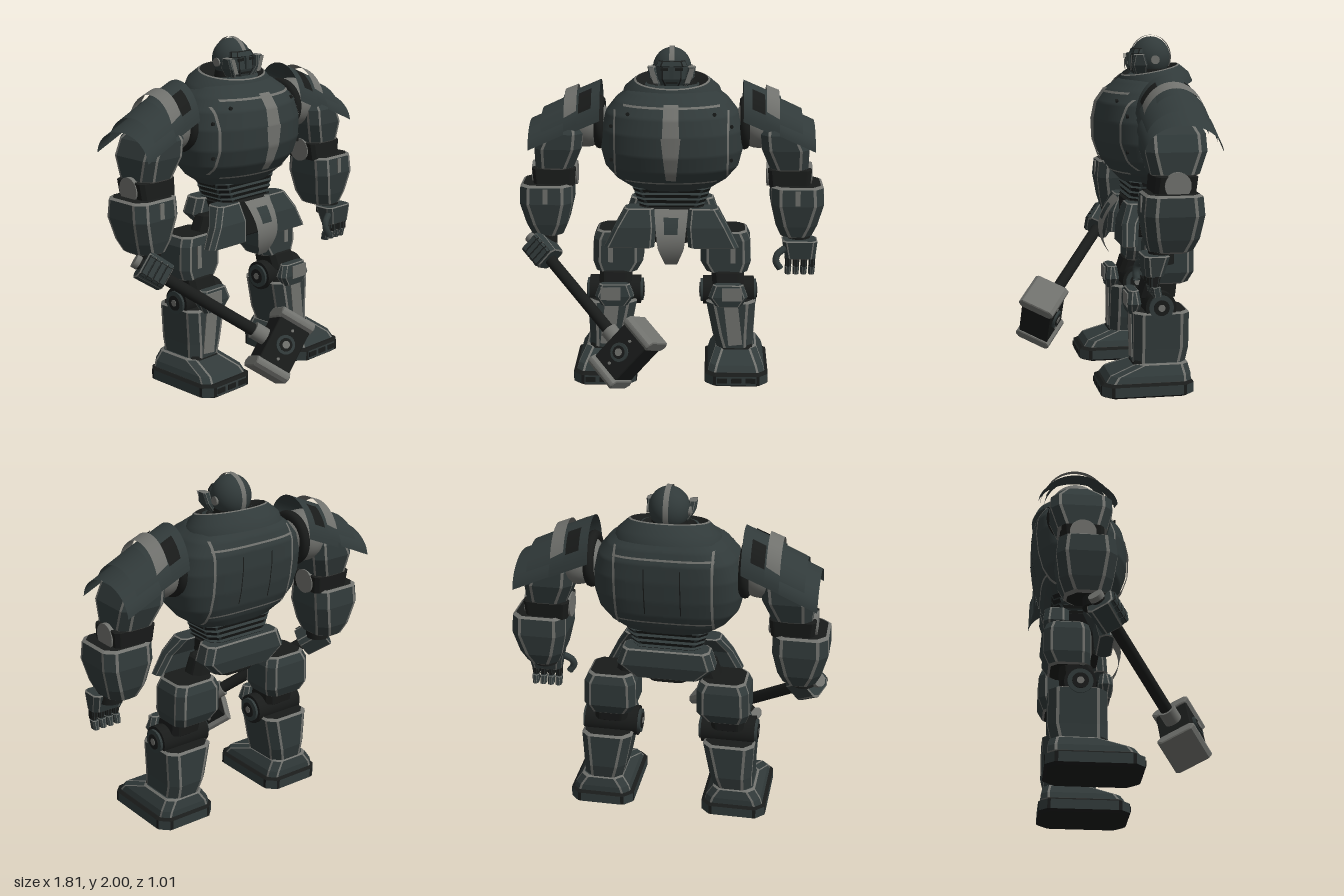
import * as THREE from 'three';

const mat = (name, color) => new THREE.MeshStandardMaterial({ name, color, side: THREE.DoubleSide });
const armour = mat('armour', 0x313a3a);
const trim = mat('trim', 0x70716d);
const dark = mat('dark', 0x191b1a);
const lerp = THREE.MathUtils.lerp;

function add(parent, name, geo, material, x = 0, y = 0, z = 0) {
  const m = new THREE.Mesh(geo, material);
  m.name = name;
  m.position.set(x, y, z);
  parent.add(m);
  return m;
}

// Armour block lofted from rows [y, x0, x1, z0, z1]; rounded corners are edged with trim
function block(parent, name, rows, c = 0.06, mats = [armour, trim, armour], s = 1) {
  const b = c * 0.25, first = rows[0], last = rows[rows.length - 1];
  const inset = (r, d) => [r[0] + d, r[1] + b, r[2] - b, r[3] + b, r[4] - b];
  const all = [inset(first, -b * 0.7), ...rows, inset(last, b * 0.7)];
  const rings = all.map(([y, xa, xb, z0, z1]) => {
    const [x0, x1] = s < 0 ? [-xb, -xa] : [xa, xb], pts = [];
    for (let q = 0; q < 4; q++) for (const deg of [0, 16, 74, 90]) {
      const t = (q * 90 + deg) * Math.PI / 180;
      const cx = q === 0 || q === 3 ? x1 - c : x0 + c, cz = q < 2 ? z1 - c : z0 + c;
      pts.push([cx + c * Math.cos(t), y, cz + c * Math.sin(t)]);
    }
    return pts;
  });
  const faces = [[], [], []];
  const n = 16, top = rings.length - 1;
  for (let k = 0; k < top; k++) for (let i = 0; i < n; i++) {
    const j = (i + 1) % n, A = rings[k], B = rings[k + 1];
    const edge = k === 0 || k === top - 1 || i % 4 === 0 || i % 4 === 2;
    faces[edge ? 1 : 0].push(A[i], B[i], A[j], A[j], B[i], B[j]);
  }
  for (let i = 1; i < n - 1; i++) {
    faces[2].push(rings[top][0], rings[top][i + 1], rings[top][i]);
    faces[2].push(rings[0][0], rings[0][i], rings[0][i + 1]);
  }
  const geo = new THREE.BufferGeometry();
  geo.setAttribute('position', new THREE.Float32BufferAttribute(faces.flat(2), 3));
  let start = 0;
  faces.forEach((f, i) => { geo.addGroup(start, f.length, i); start += f.length; });
  geo.computeVertexNormals();
  return add(parent, name, geo, mats);
}

// Curved sheet from a rule (u, v) -> [x, y, z]
function sheet(parent, name, material, fn, nu = 16, nv = 16) {
  const geo = new THREE.PlaneGeometry(1, 1, nu, nv), p = geo.attributes.position;
  for (let i = 0; i < p.count; i++) p.setXYZ(i, ...fn(p.getX(i) + 0.5, p.getY(i) + 0.5));
  geo.computeVertexNormals();
  return add(parent, name, geo, material);
}

// Cylinder lying along x (default), y or z
function disc(parent, name, material, r, len, x, y, z, axis = 'x', sides = 24) {
  const geo = new THREE.CylinderGeometry(r, r, len, sides);
  if (axis === 'x') geo.rotateZ(Math.PI / 2);
  if (axis === 'z') geo.rotateX(Math.PI / 2);
  return add(parent, name, geo, material, x, y, z);
}

// Torso profile: y, half width, front z, back z; round in front, boxy behind
const PROFILE = [[1.15, 0.05, -0.2, -0.3], [1.16, 0.24, -0.09, -0.38], [1.22, 0.33, -0.03, -0.42], [1.3, 0.395, 0.03, -0.455],
  [1.4, 0.42, 0.065, -0.48], [1.52, 0.42, 0.07, -0.495], [1.62, 0.39, 0.05, -0.495], [1.69, 0.335, 0, -0.47],
  [1.74, 0.27, -0.07, -0.43], [1.78, 0.15, -0.16, -0.36]];
const power = side => (side > 0 ? 2.05 : 3.4);
function profileAt(y) {
  let i = 0;
  while (i < PROFILE.length - 2 && y > PROFILE[i + 1][0]) i++;
  const a = PROFILE[i], b = PROFILE[i + 1], t = (y - a[0]) / (b[0] - a[0]);
  return [1, 2, 3].map(k => lerp(a[k], b[k], t));
}
function torsoZ(x, y, side, off = 0.006) {
  const [w, f, b] = profileAt(y), n = power(side);
  const bulge = Math.pow(Math.max(0, 1 - Math.pow(Math.abs(x) / w, n)), 1 / n);
  return (f + b) / 2 + side * ((f - b) / 2 * bulge + off);
}

function buildTorso(g) {
  sheet(g, 'torso', armour, (u, v) => {
    const y = lerp(1.15, 1.78, v), [w, f, b] = profileAt(y), t = u * Math.PI * 2 - Math.PI;
    const pw = k => Math.sign(k) * Math.pow(Math.abs(k), 2 / power(Math.cos(t)));
    return [w * pw(Math.sin(t)), y, (f + b) / 2 + (f - b) / 2 * pw(Math.cos(t))];
  }, 80, 63);
  const strip = (name, m, side, x0, x1, y0, y1, off, taper = 1) => sheet(g, name, m, (u, v) => {
    const y = lerp(y0, y1, v), x = lerp(x0, x1, side > 0 ? u : 1 - u) * lerp(taper, 1, v);
    return [x, y, torsoZ(x, y, side, off)];
  }, 20, 20);
  // Chest stripe, seams and back panel lines
  strip('chestStripeLower', trim, 1, -0.057, 0.057, 1.25, 1.52, 0.012, 0.5);
  strip('chestStripeUpper', trim, 1, -0.042, 0.042, 1.5, 1.7, 0.011, 1.2);
  strip('chestTopSeam', trim, 1, -0.28, 0.28, 1.675, 1.687);
  strip('chestBottomSeam', trim, 1, -0.27, 0.27, 1.222, 1.232);
  strip('backTopSeam', trim, -1, -0.28, 0.28, 1.645, 1.656);
  strip('backBottomSeam', trim, -1, -0.27, 0.27, 1.25, 1.26);
  strip('backPanel', armour, -1, -0.2, 0.2, 1.32, 1.6, 0.009);
  for (const s of [-1, 1]) {
    strip('chestSideSeam', trim, 1, s * 0.33 - 0.006, s * 0.33 + 0.006, 1.25, 1.65);
    strip('backSideSeam', trim, -1, s * 0.27 - 0.007, s * 0.27 + 0.007, 1.2, 1.7);
    strip('backPanelSeam', dark, -1, s * 0.1 - 0.003, s * 0.1 + 0.003, 1.32, 1.6, 0.012);
    for (const [x, y] of [[0.35, 1.56], [0.35, 1.36], [0.25, 1.64]])
      disc(g, 'rivet', dark, 0.011, 0.012, s * x, y, torsoZ(x, y, 1), 'z', 10);
  }
  // Tilted collar with a recessed neck
  const collar = new THREE.Group();
  collar.name = 'collar';
  collar.position.set(0, 1.755, -0.272);
  collar.rotation.x = 0.2;
  collar.scale.z = 0.75;
  g.add(collar);
  const lathe = (name, m, pts) => add(collar, name, new THREE.LatheGeometry(pts.map(p => new THREE.Vector2(...p)), 40), m);
  lathe('collarShell', armour, [[0.3, -0.06], [0.285, -0.01], [0.225, 0.045]]);
  lathe('collarRim', trim, [[0.225, 0.045], [0.213, 0.05]]);
  lathe('neckWell', dark, [[0.213, 0.05], [0.16, 0.025], [0.12, 0], [0.001, 0]]);
}

function buildHead(g) {
  const head = new THREE.Group();
  head.name = 'head';
  head.position.set(0, 1.87, -0.265);
  g.add(head);
  add(head, 'helmet', new THREE.SphereGeometry(0.113, 32, 20), armour).scale.y = 1.06;
  add(head, 'neck', new THREE.CylinderGeometry(0.09, 0.11, 0.12, 24), dark, 0, -0.09, 0);
  sheet(head, 'crest', trim, (u, v) => {
    const a = lerp(-2.0, 1.1, v);
    return [lerp(-0.015, 0.015, u), 0.128 * Math.cos(a), 0.119 * Math.sin(a)];
  }, 1, 24);
  block(head, 'faceMask', [[-0.12, -0.05, 0.05, 0, 0.095], [-0.05, -0.08, 0.08, 0, 0.122], [0.02, -0.08, 0.08, 0, 0.117]], 0.03, [armour, dark, armour]);
  block(head, 'brow', [[0.025, -0.09, 0.09, 0, 0.115], [0.05, -0.08, 0.08, 0, 0.105]], 0.03, [armour, dark, armour]);
  add(head, 'nose', new THREE.BoxGeometry(0.022, 0.075, 0.02), armour, 0, -0.01, 0.122);
  add(head, 'mouthGrille', new THREE.BoxGeometry(0.07, 0.012, 0.008), dark, 0, -0.07, 0.117);
  for (const s of [-1, 1]) {
    add(head, 'eyeSlot', new THREE.BoxGeometry(0.045, 0.016, 0.008), dark, s * 0.043, 0.008, 0.118);
    block(head, 'cheekGuard', [[-0.09, 0.065, 0.095, 0.04, 0.11], [-0.04, 0.085, 0.13, 0.04, 0.13], [0.02, 0.095, 0.14, 0.06, 0.12]], 0.012, [armour, trim, trim], s);
    sheet(head, 'cheekPlate', trim, (u, v) => [s * (lerp(0.075, 0.105, v) + 0.03 * u), lerp(-0.07, 0.018, v), 0.133], 1, 1);
    disc(head, 'earDisc', trim, 0.025, 0.03, s * 0.106, -0.01, -0.005);
  }
}

function buildHips(g) {
  for (let i = 0; i < 4; i++) {
    const w = 0.19 + i * 0.012, y = 1.05 + i * 0.032;
    block(g, 'waistBand', [[y, -w, w, -0.37, -0.12], [y + 0.02, -w - 0.008, w + 0.008, -0.38, -0.11]], 0.06, [dark, armour, dark]);
  }
  block(g, 'pelvisCore', [[0.84, -0.12, 0.12, -0.35, -0.1], [1.05, -0.2, 0.2, -0.38, -0.1]], 0.05, [dark, dark, dark]);
  block(g, 'rearBelt', [[0.89, -0.2, 0.2, -0.41, -0.3], [0.97, -0.28, 0.28, -0.43, -0.28], [1.06, -0.25, 0.25, -0.42, -0.28]], 0.04);
  // Tapered front guard
  const guard = (name, m, k, y0, y1, off) => sheet(g, name, m, (u, v) => {
    const y = lerp(y0, y1, v), t = (y - 0.73) / 0.33;
    const w = t < 0.35 ? lerp(0.035, 0.078, t / 0.35) : lerp(0.078, 0.1, (t - 0.35) / 0.65);
    return [(u * 2 - 1) * w * k, y, 0.03 - 0.28 * Math.pow(t - 0.42, 2) + off];
  }, 2, 12);
  guard('frontGuard', trim, 1, 0.73, 1.06, 0);
  guard('frontGuardInset', armour, 0.45, 0.93, 1.02, 0.006);
  for (const s of [-1, 1])
    block(g, 'hipSkirt', [[0.83, 0.1, 0.4, -0.12, -0.03], [0.95, 0.09, 0.34, -0.14, -0.04], [1.05, 0.1, 0.28, -0.2, -0.08]], 0.03, undefined, s);
}

function buildLeg(g, s) {
  const D = [armour, trim, dark];
  block(g, 'thigh', [[0.63, 0.21, 0.46, -0.4, -0.17], [0.69, 0.175, 0.48, -0.43, -0.17], [0.83, 0.175, 0.475, -0.43, -0.17], [0.875, 0.195, 0.455, -0.415, -0.18]], 0.05, D, s);
  block(g, 'hipJoint', [[0.86, 0.18, 0.31, -0.35, -0.2], [0.97, 0.12, 0.27, -0.34, -0.2]], 0.05, [dark, dark, dark], s);
  add(g, 'thighStripe', new THREE.BoxGeometry(0.03, 0.135, 0.008), trim, s * 0.37, 0.76, -0.168);
  // Knee hinge and guard
  disc(g, 'kneeHinge', dark, 0.088, 0.31, s * 0.345, 0.5, -0.23);
  for (const x of [0.185, 0.505]) {
    disc(g, 'kneeRing', armour, 0.07, 0.02, s * x, 0.5, -0.23);
    disc(g, 'kneeCap', dark, 0.045, 0.03, s * x, 0.5, -0.23);
    disc(g, 'kneeBolt', trim, 0.02, 0.036, s * x, 0.5, -0.23);
  }
  block(g, 'upperKnee', [[0.54, 0.25, 0.44, -0.33, -0.13], [0.63, 0.24, 0.44, -0.34, -0.16]], 0.04, [dark, dark, dark], s);
  block(g, 'kneeGuard', [[0.45, 0.265, 0.425, -0.12, -0.06], [0.51, 0.225, 0.46, -0.13, -0.05], [0.58, 0.25, 0.435, -0.12, -0.06]], 0.025, [armour, trim, armour], s);
  add(g, 'kneePlate', new THREE.BoxGeometry(0.12, 0.08, 0.008), trim, s * 0.365, 0.53, -0.052);
  // Shin and foot
  block(g, 'shin', [[0.17, 0.275, 0.5, -0.38, -0.08], [0.26, 0.25, 0.5, -0.4, -0.08], [0.46, 0.21, 0.51, -0.4, -0.08]], 0.06, D, s);
  add(g, 'shinStripe', new THREE.BoxGeometry(0.085, 0.26, 0.008), trim, s * 0.375, 0.325, -0.079).rotation.z = s * 0.12;
  block(g, 'sole', [[0.014, 0.205, 0.585, -0.415, 0.115], [0.07, 0.205, 0.585, -0.415, 0.115]], 0.07, [armour, dark, dark], s);
  block(g, 'footUpper', [[0.085, 0.225, 0.565, -0.4, 0.085], [0.12, 0.235, 0.555, -0.4, 0.06], [0.172, 0.27, 0.52, -0.39, -0.09]], 0.05, undefined, s);
  block(g, 'ankle', [[0.15, 0.29, 0.5, -0.36, -0.07], [0.2, 0.29, 0.49, -0.36, -0.09]], 0.04, [dark, dark, dark], s);
  for (const x of [0.31, 0.395, 0.48]) add(g, 'toeRidge', new THREE.BoxGeometry(0.06, 0.03, 0.014), dark, s * x, 0.045, 0.114);
}

function buildArm(g, s) {
  // Shoulder joint
  add(g, 'shoulderBall', new THREE.SphereGeometry(0.15, 28, 18), trim, s * 0.515, 1.54, -0.27);
  add(g, 'shoulderRing', new THREE.TorusGeometry(0.13, 0.03, 10, 32), dark, s * 0.43, 1.54, -0.27).rotation.y = Math.PI / 2;
  // Layered arched pads
  const pad = (name, m, x0, x1, y0, y1, drop, hd, nu = 6, a0 = -1.5, a1 = 1.5) => sheet(g, name, m, (u, v) => {
    const a = lerp(a0, a1, v);
    return [s * lerp(x0, x1, u), lerp(y0, y1, u) - drop * (1 - Math.cos(a)), -0.275 + hd * Math.sin(a)];
  }, nu, 24);
  pad('shoulderPadInner', armour, 0.42, 0.64, 1.795, 1.7, 0.23, 0.18);
  pad('shoulderPadMiddle', armour, 0.55, 0.765, 1.725, 1.625, 0.18, 0.2);
  pad('shoulderPadOuter', armour, 0.63, 0.84, 1.65, 1.555, 0.155, 0.215);
  pad('shoulderPadBand', trim, 0.555, 0.63, 1.765, 1.735, 0.22, 0.187, 6, -1.2, 1.2);
  for (const t of [-1, 1]) pad('shoulderPadRecess', dark, 0.47, 0.545, 1.78, 1.747, 0.23, 0.184, 4, t * 0.45, t * 1.1);
  // Upper arm, elbow and forearm
  block(g, 'upperArm', [[1.29, 0.58, 0.81, -0.38, -0.11], [1.41, 0.53, 0.81, -0.42, -0.08], [1.5, 0.52, 0.77, -0.42, -0.08], [1.61, 0.53, 0.65, -0.37, -0.15]], 0.06, [armour, trim, dark], s);
  block(g, 'elbow', [[1.18, 0.58, 0.82, -0.35, -0.12], [1.28, 0.57, 0.83, -0.36, -0.13]], 0.03, [dark, dark, dark], s);
  disc(g, 'elbowDisc', trim, 0.072, 0.268, s * 0.7, 1.235, -0.245);
  block(g, 'forearm', [[0.88, 0.65, 0.84, -0.34, -0.1], [0.95, 0.62, 0.87, -0.37, -0.08], [1.08, 0.59, 0.905, -0.39, -0.06], [1.18, 0.59, 0.9, -0.38, -0.07]], 0.065, [armour, trim, dark], s);
  add(g, 'forearmStripe', new THREE.BoxGeometry(0.03, 0.09, 0.008), trim, s * 0.745, 1.13, -0.064);
  disc(g, 'wrist', dark, 0.07, 0.1, s * 0.76, 0.86, -0.17, 'y');
}

function buildOpenHand(g) {
  block(g, 'palm', [[0.755, 0.68, 0.86, -0.17, -0.07], [0.86, 0.66, 0.87, -0.2, -0.06]], 0.03);
  for (let i = 0; i < 4; i++) {
    const x = 0.7 + i * 0.047;
    block(g, 'fingerUpper', [[0.7, x - 0.018, x + 0.018, -0.14, -0.09], [0.755, x - 0.02, x + 0.02, -0.15, -0.09]], 0.012, [dark, armour, dark]);
    block(g, 'fingerTip', [[0.645, x - 0.017, x + 0.017, -0.16, -0.11], [0.695, x - 0.02, x + 0.02, -0.15, -0.1]], 0.012);
  }
  const thumb = new THREE.CatmullRomCurve3([[0.68, 0.82, -0.09], [0.63, 0.78, -0.07], [0.625, 0.74, -0.06], [0.65, 0.7, -0.06]].map(p => new THREE.Vector3(...p)));
  add(g, 'thumb', new THREE.TubeGeometry(thumb, 10, 0.021, 8), armour);
}

// Hammer and the fist around its handle; local y runs up the handle
function buildHammer(g) {
  const h = new THREE.Group();
  h.name = 'hammer';
  const x = new THREE.Vector3(0.656, 0.754, 0).normalize(), y = new THREE.Vector3(-0.63, 0.548, -0.548).normalize();
  h.quaternion.setFromRotationMatrix(new THREE.Matrix4().makeBasis(x, y, x.clone().cross(y)));
  h.position.set(-0.24, 0.317, 0.35);
  g.add(h);
  block(h, 'hammerCore', [[-0.095, -0.15, 0.15, -0.095, 0.095], [0.095, -0.15, 0.15, -0.095, 0.095]], 0.025, [dark, dark, dark]);
  for (const s of [-1, 1]) {
    block(h, 'hammerFace', [[-0.105, 0.125, 0.19, -0.112, 0.112], [0.105, 0.125, 0.19, -0.112, 0.112]], 0.028, [trim, trim, trim], s);
    disc(h, 'hammerRing', armour, 0.055, 0.02, 0, 0, s * 0.098, 'z');
    disc(h, 'hammerRingInset', dark, 0.038, 0.026, 0, 0, s * 0.098, 'z');
    disc(h, 'hammerStud', trim, 0.022, 0.034, 0, 0, s * 0.098, 'z');
    for (const t of [-1, 1]) disc(h, 'hammerRivet', trim, 0.009, 0.012, t * 0.09, 0, s * 0.097, 'z', 8);
  }
  disc(h, 'hammerNeck', trim, 0.05, 0.09, 0, 0.135, 0, 'y');
  disc(h, 'handle', dark, 0.035, 0.85, 0, 0.52, 0, 'y');
  disc(h, 'pommel', trim, 0.042, 0.03, 0, 0.955, 0, 'y');
  block(h, 'fist', [[0.77, -0.075, 0.08, -0.07, 0.07], [0.92, -0.08, 0.085, -0.075, 0.075]], 0.03);
  for (let i = 0; i < 4; i++)
    block(h, 'curledFinger', [[0.775 + i * 0.037, -0.07, 0.06, 0.04, 0.09], [0.803 + i * 0.037, -0.07, 0.06, 0.04, 0.09]], 0.015, [armour, dark, armour]);
}

export function createModel() {
  const g = new THREE.Group();
  g.name = 'armouredRobot';
  buildTorso(g);
  buildHead(g);
  buildHips(g);
  for (const s of [-1, 1]) {
    const leg = new THREE.Group(), arm = new THREE.Group();
    leg.name = s > 0 ? 'leftLeg' : 'rightLeg';
    arm.name = s > 0 ? 'leftArm' : 'rightArm';
    g.add(leg, arm);
    buildLeg(leg, s);
    buildArm(arm, s);
    if (s > 0) buildOpenHand(arm); else buildHammer(arm);
  }
  return g;
}
